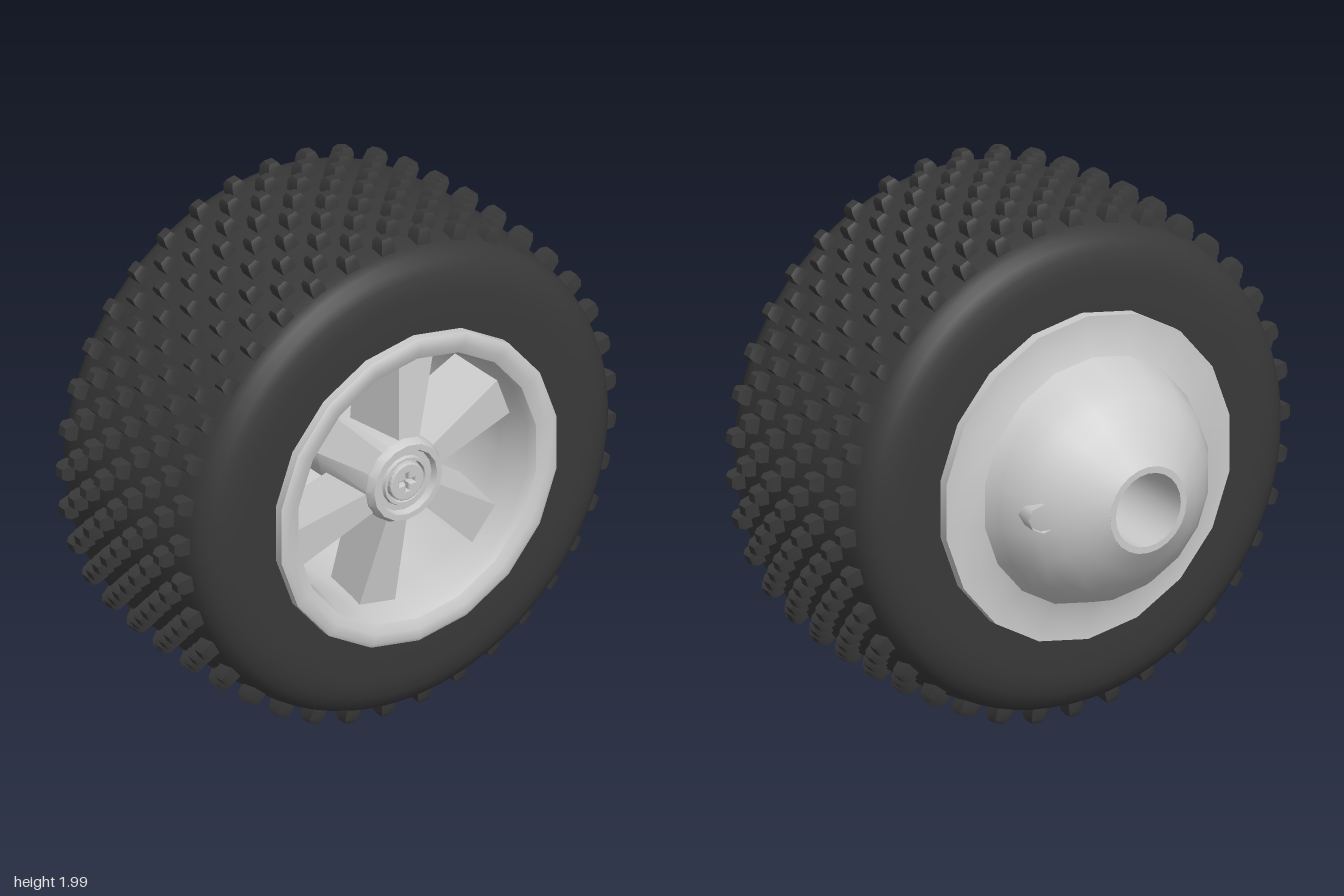
import * as THREE from 'three';
import { mergeGeometries, toCreasedNormals } from 'three/addons/utils/BufferGeometryUtils.js';

const grey = new THREE.MeshStandardMaterial({ color: 0xcccccc });
const rubber = new THREE.MeshStandardMaterial({ color: 0x393939 });
const MID = 0.188; // centre plane of the tyre along the axle

// Revolve [x, radius] pairs around the x axle
function turn(profile, sides, crease = 0.6) {
  const g = new THREE.LatheGeometry(profile.map(([x, r]) => new THREE.Vector2(r, x)), sides);
  g.rotateZ(-Math.PI / 2).rotateX(Math.PI / 2);
  return toCreasedNormals(g, crease);
}

const crown = (x) => 0.945 - 0.2 * (x - MID) ** 2;

// Tapered tread block standing on the crown
function knob(x, angle) {
  const g = new THREE.BoxGeometry(0.064, 1, 0.062, 1, 2, 1);
  const p = g.attributes.position;
  const base = crown(x) - 0.015;
  for (let i = 0; i < p.count; i++) {
    const level = Math.round((p.getY(i) + 0.5) * 2);
    const s = [1, 0.9, 0.58][level];
    p.setXYZ(i, x + p.getX(i) * s, base + [0, 0.05, 0.067][level], p.getZ(i) * s);
  }
  return g.rotateX(angle);
}

// Spoke widening from hub to barrel, with a deep, skewed section
function spoke() {
  const g = new THREE.BoxGeometry(1, 1, 1);
  const p = g.attributes.position;
  for (let i = 0; i < p.count; i++) {
    const t = p.getY(i) + 0.5;
    const front = p.getX(i) > 0;
    const width = 0.085 + 0.075 * t;
    const x = front ? 0.6 - 0.04 * t : 0.34;
    p.setXYZ(i, x, 0.13 + 0.375 * t, p.getZ(i) * width + (front ? 0 : 0.03));
  }
  return toCreasedNormals(g, 0.4);
}

export function createModel() {
  const model = new THREE.Group();
  const wheel = new THREE.Group();
  wheel.name = 'wheel';
  wheel.position.y = 1;
  model.add(wheel);
  const add = (name, geometry, material = grey) => {
    const m = new THREE.Mesh(geometry, material);
    m.name = name;
    wheel.add(m);
    return m;
  };

  // Tyre carcass, mirrored about its centre plane
  const half = [[-0.285, 0.575], [-0.285, 0.74], [-0.281, 0.79], [-0.27, 0.835], [-0.252, 0.872],
    [-0.225, 0.9], [-0.19, 0.915], [-0.155, crown(-0.155)], [0, crown(0)]];
  const other = half.map(([x, r]) => [2 * MID - x, r]).reverse();
  add('tyre', turn([...half, [MID, crown(MID)], ...other], 74), rubber);

  // Staggered tread: rows of five and four blocks
  const knobs = [];
  const rows = 74;
  for (let row = 0; row < rows; row++) {
    for (let col = row % 2; col < 9; col += 2) {
      knobs.push(knob(MID + (col - 4) * 0.0865, Math.PI / 2 + (row / rows) * Math.PI * 2));
    }
  }
  add('treadBlocks', toCreasedNormals(mergeGeometries(knobs), 0.5), rubber);

  // Rim: domed back, flanges and hollow barrel
  add('rim', turn([
    [-0.71, 0.165], [-0.655, 0.25], [-0.6, 0.32], [-0.545, 0.375], [-0.48, 0.42], [-0.41, 0.447], [-0.35, 0.47],
    [-0.325, 0.545], [-0.325, 0.62], [-0.28, 0.62], [-0.28, 0.57], [0.655, 0.57], [0.655, 0.615],
    [0.695, 0.615], [0.703, 0.6], [0.7, 0.565], [0.685, 0.53], [0.65, 0.515], [0.5, 0.5], [-0.3, 0.475],
    [-0.46, 0.4], [-0.58, 0.31], [-0.68, 0.165],
  ], 18));

  // Axle tube, open at the back
  add('axleTube', turn([
    [0.4, 0.15], [-0.69, 0.165], [-0.71, 0.165], [-0.71, 0.14], [0.2, 0.13], [0.2, 0],
  ].reverse().map(([x, r]) => [x, r]).reverse(), 24), Object.assign(grey.clone(), { side: THREE.DoubleSide }));

  // Hub with recessed face
  add('hub', turn([
    [0.3, 0.16], [0.6, 0.165], [0.63, 0.15], [0.63, 0.128], [0.605, 0.12], [0.605, 0.098],
    [0.618, 0.094], [0.618, 0.084], [0.597, 0.08], [0.597, 0],
  ], 16, 0.5));

  // Six spokes
  const spokeGeometry = spoke();
  for (let i = 0; i < 6; i++) {
    add('spoke', spokeGeometry).rotation.x = THREE.MathUtils.degToRad(-10 + i * 60);
  }

  // Screw head with a cross recess
  const head = new THREE.Shape().absarc(0, 0, 0.068, 0, Math.PI * 2, false);
  const a = 0.04, b = 0.013;
  head.holes.push(new THREE.Path([
    [a, b], [a, -b], [b, -b], [b, -a], [-b, -a], [-b, -b],
    [-a, -b], [-a, b], [-b, b], [-b, a], [b, a], [b, b],
  ].map(([x, y]) => new THREE.Vector2(x, y))));
  const screw = new THREE.ExtrudeGeometry(head, {
    depth: 0.025, bevelEnabled: true, bevelSize: 0.006, bevelThickness: 0.006, bevelSegments: 2, curveSegments: 12,
  });
  add('screw', screw.rotateY(Math.PI / 2)).position.x = 0.595;

  // Small vent spout on the dome, flaring outward with a slanted mouth
  const spout = new THREE.CylinderGeometry(0.055, 0.045, 0.18, 8, 1, true).rotateZ(Math.PI / 2);
  const p = spout.attributes.position;
  for (let i = 0; i < p.count; i++) {
    if (p.getX(i) < 0) p.setX(i, p.getX(i) - 0.3 * p.getZ(i));
    p.setX(i, p.getX(i) + (p.getX(i) < 0 ? 0.015 : 0));
  }
  spout.computeVertexNormals();
  add('ventSpout', spout, Object.assign(grey.clone(), { side: THREE.DoubleSide })).position.set(-0.5, 0, -0.36);

  return model;
}
